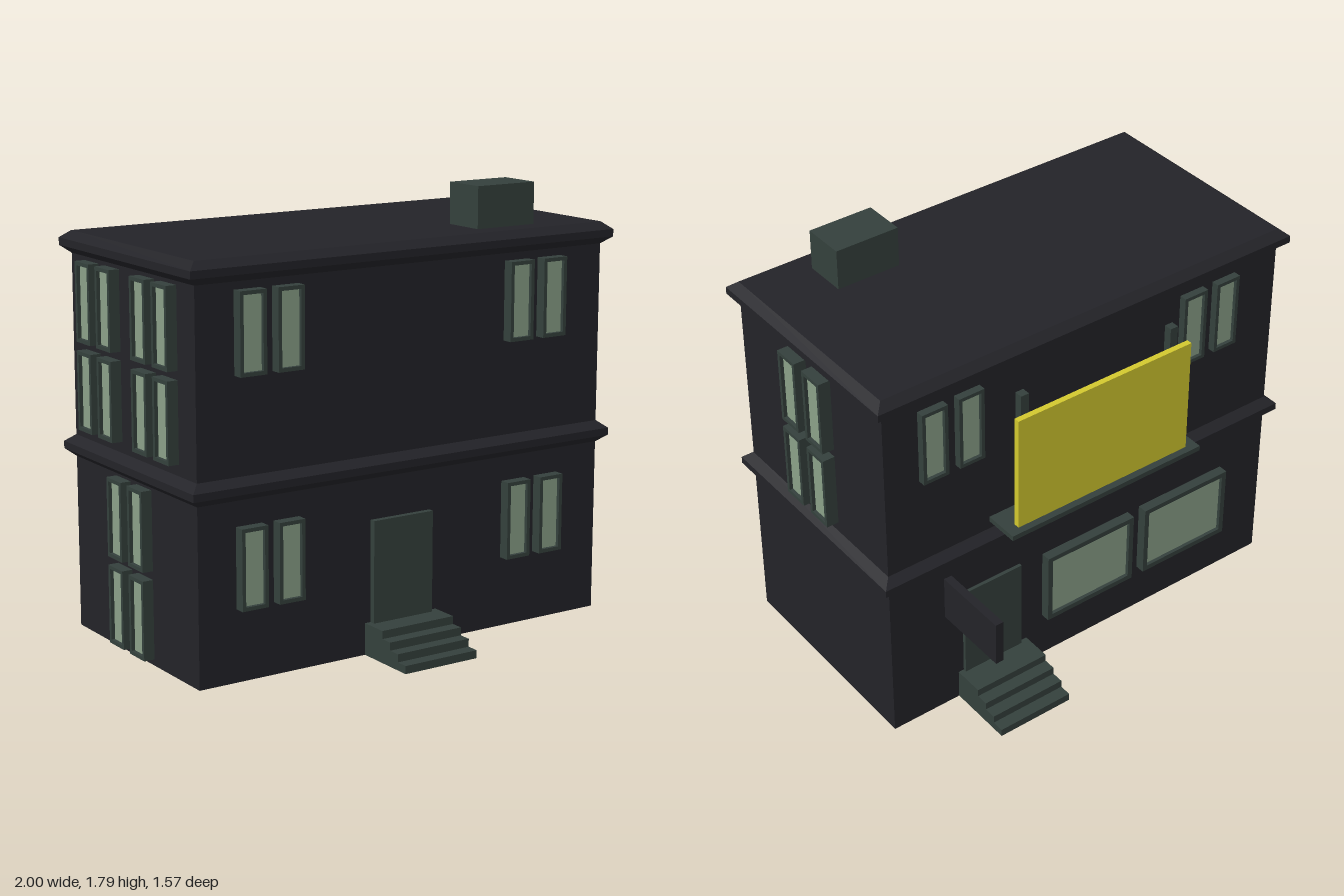
import * as THREE from 'three';

const mat = (color) => new THREE.MeshStandardMaterial({ color });

export function createModel() {
  const house = new THREE.Group();
  house.name = 'house';
  const wall = mat(0x232328), trim = mat(0x34403c), glass = mat(0x8aa088), yellow = mat(0xd2c82e);

  function add(parent, name, geometry, material) {
    const mesh = new THREE.Mesh(geometry, material);
    mesh.name = name;
    parent.add(mesh);
    return mesh;
  }
  // Box given by its minimum and maximum along each axis
  function box(parent, name, material, x0, x1, y0, y1, z0, z1) {
    const mesh = add(parent, name, new THREE.BoxGeometry(x1 - x0, y1 - y0, z1 - z0), material);
    mesh.position.set((x0 + x1) / 2, (y0 + y1) / 2, (z0 + z1) / 2);
    return mesh;
  }
  function rect(path, x0, x1, y0, y1) {
    path.moveTo(x0, y0);
    path.lineTo(x1, y0);
    path.lineTo(x1, y1);
    path.lineTo(x0, y1);
    path.closePath();
    return path;
  }

  // Main block and chimney
  box(house, 'walls', wall, -0.955, 0.945, 0, 1.6, -0.45, 0.51);
  box(house, 'chimney', trim, 0.39, 0.67, 1.6, 1.795, 0.235, 0.42);

  // Bevelled cornices around the block
  for (const [name, y] of [['floorCornice', 0.71], ['roofCornice', 1.535]]) {
    const geometry = new THREE.ExtrudeGeometry(rect(new THREE.Shape(), -0.955, 0.945, -0.51, 0.45), {
      depth: 0.03, bevelEnabled: true, bevelThickness: 0.03, bevelSize: 0.037, bevelSegments: 1,
    });
    geometry.rotateX(-Math.PI / 2);
    add(house, name, geometry, wall).position.y = y + 0.03;
  }

  // One group per wall; its local +z points out of the wall
  function side(name, x, z, turn) {
    const group = new THREE.Group();
    group.name = name;
    group.position.set(x, 0, z);
    group.rotation.y = turn;
    house.add(group);
    return group;
  }
  const front = side('frontSide', 0, 0.51, 0);
  const back = side('backSide', 0, -0.45, Math.PI);
  const left = side('leftSide', 0.945, 0, Math.PI / 2);
  const right = side('rightSide', -0.955, 0, -Math.PI / 2);

  // Framed window with recessed pane
  function windowUnit(parent, x, y, w, h, depth, border) {
    const unit = new THREE.Group();
    unit.name = 'window';
    unit.position.set(x, y, 0);
    parent.add(unit);
    const shape = rect(new THREE.Shape(), -w / 2, w / 2, 0, h);
    shape.holes.push(rect(new THREE.Path(), -w / 2 + border, w / 2 - border, border, h - border));
    add(unit, 'windowFrame', new THREE.ExtrudeGeometry(shape, { depth, bevelEnabled: false }), trim);
    box(unit, 'windowPane', glass, -w / 2 + border, w / 2 - border, border, h - border, 0, depth - 0.015);
  }
  function windowPair(parent, x, y, depth) {
    for (const s of [-1, 1]) windowUnit(parent, x + s * 0.0825, y, 0.115, 0.32, depth, 0.015);
  }
  for (const x of [-0.65, 0.598]) {
    windowPair(front, x, 1.185, 0.045);
    windowPair(front, x, 0.29, 0.045);
    windowPair(back, x, 1.185, 0.032);
  }
  for (const y of [0.845, 1.2]) {
    windowPair(left, -0.025, y, 0.052);
    windowPair(right, -0.2, y, 0.045);
    windowPair(right, 0.24, y, 0.045);
  }
  for (const y of [0.025, 0.38]) windowPair(right, 0.025, y, 0.045);
  // Wide shop windows
  for (const x of [0.01, 0.51]) windowUnit(back, x, 0.21, 0.44, 0.325, 0.042, 0.022);

  // Doors with four steps each
  function entrance(parent, x, doorDepth, reach) {
    box(parent, 'door', trim, x - 0.145, x + 0.135, 0.13, 0.545, 0, doorDepth);
    for (let i = 0; i < 4; i++) {
      box(parent, 'step', trim, x - 0.17, x + 0.17, i * 0.0325, (i + 1) * 0.0325, 0, reach - i * 0.052);
    }
  }
  entrance(front, -0.035, 0.025, 0.275);
  entrance(back, -0.46, 0.015, 0.287);

  // Hanging sign beside the back door
  box(house, 'hangingSign', wall, 0.655, 0.69, 0.46, 0.655, -0.785, -0.45);

  // Billboard on its ledge
  box(house, 'ledge', trim, -0.47, 0.47, 0.835, 0.857, -0.6, -0.45);
  box(house, 'billboard', yellow, -0.42, 0.42, 0.857, 1.365, -0.57, -0.545);
  for (const x of [-0.352, 0.37]) box(house, 'billboardPost', trim, x - 0.018, x + 0.018, 0.857, 1.45, -0.543, -0.508);

  return house;
}
